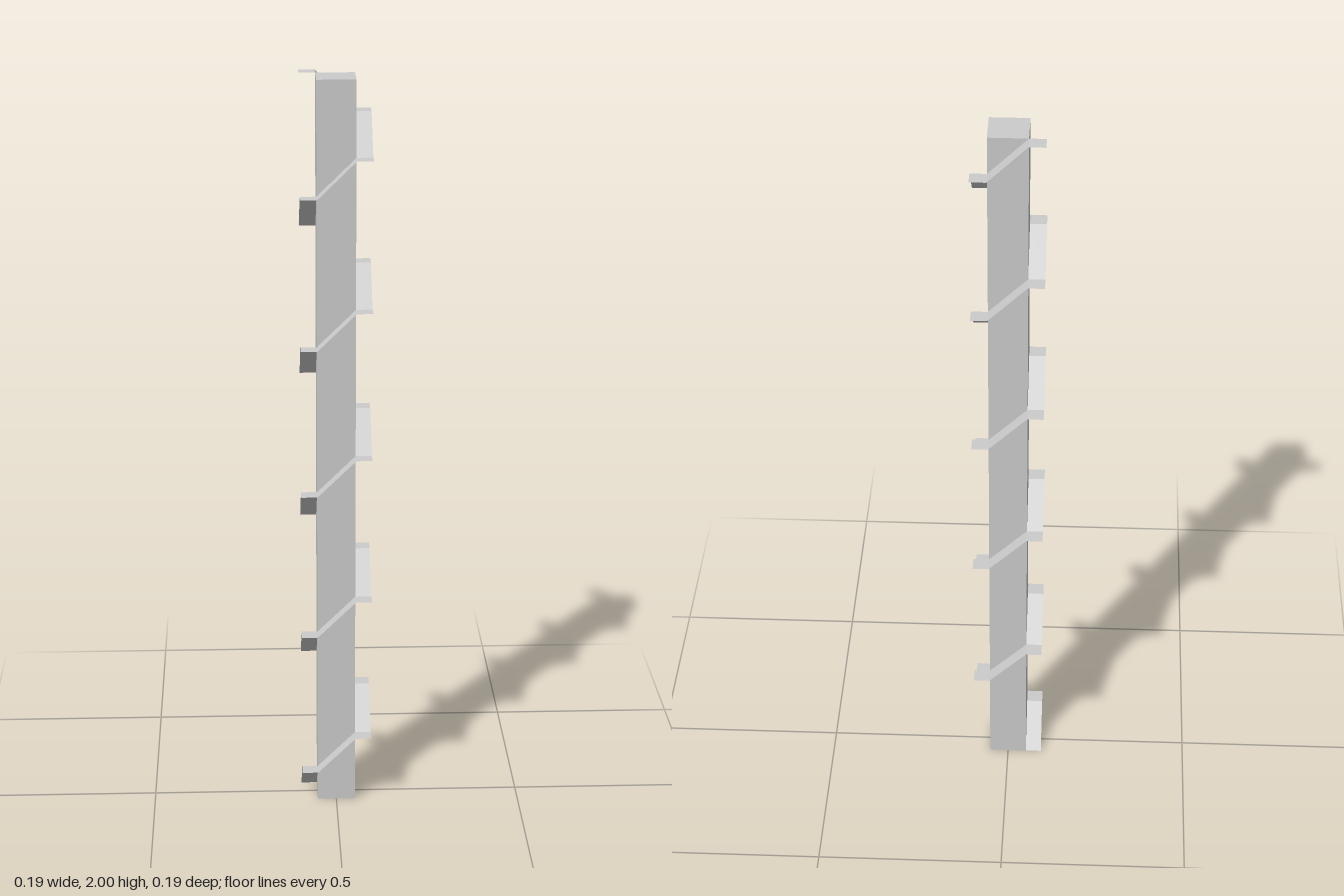
import * as THREE from 'three';

const INNER = 0.051;   // half width of the post
const OUTER = 0.094;   // half width to the ramp's outer edge
const RISE = 0.1;      // climb along each side of the post
const FLIGHTS = 20;

// Thin four-cornered surface, corners anticlockwise seen from above
function quad(name, corners, material) {
  const geometry = new THREE.BufferGeometry();
  geometry.setAttribute('position', new THREE.Float32BufferAttribute(corners.flat(), 3));
  geometry.setIndex([0, 1, 2, 0, 2, 3]);
  geometry.computeVertexNormals();
  const mesh = new THREE.Mesh(geometry, material);
  mesh.name = name;
  return mesh;
}

export function createModel() {
  const model = new THREE.Group();
  model.name = 'postWithSpiralRamp';
  const solid = new THREE.MeshStandardMaterial({ color: 0xcccccc, flatShading: true });
  const thin = new THREE.MeshStandardMaterial({ color: 0xcccccc, flatShading: true, side: THREE.DoubleSide });

  // Square central post
  const height = FLIGHTS * RISE;
  const post = new THREE.Mesh(new THREE.BoxGeometry(2 * INNER, height, 2 * INNER), solid);
  post.name = 'post';
  post.position.y = height / 2;
  model.add(post);

  // One sloped flight per side, each ending in a flat corner landing
  const ramp = new THREE.Group();
  ramp.name = 'spiralRamp';
  for (let i = 0; i < FLIGHTS; i++) {
    const step = new THREE.Group();
    step.name = 'rampStep';
    step.position.y = i * RISE;
    step.rotation.y = i * Math.PI / 2;
    // Built on the -x side, climbing from back to front
    step.add(quad('flight', [
      [-OUTER, 0, -INNER], [-OUTER, RISE, INNER], [-INNER, RISE, INNER], [-INNER, 0, -INNER],
    ], thin));
    step.add(quad('landing', [
      [-OUTER, RISE, INNER], [-OUTER, RISE, OUTER], [-INNER, RISE, OUTER], [-INNER, RISE, INNER],
    ], thin));
    ramp.add(step);
  }
  model.add(ramp);
  return model;
}
